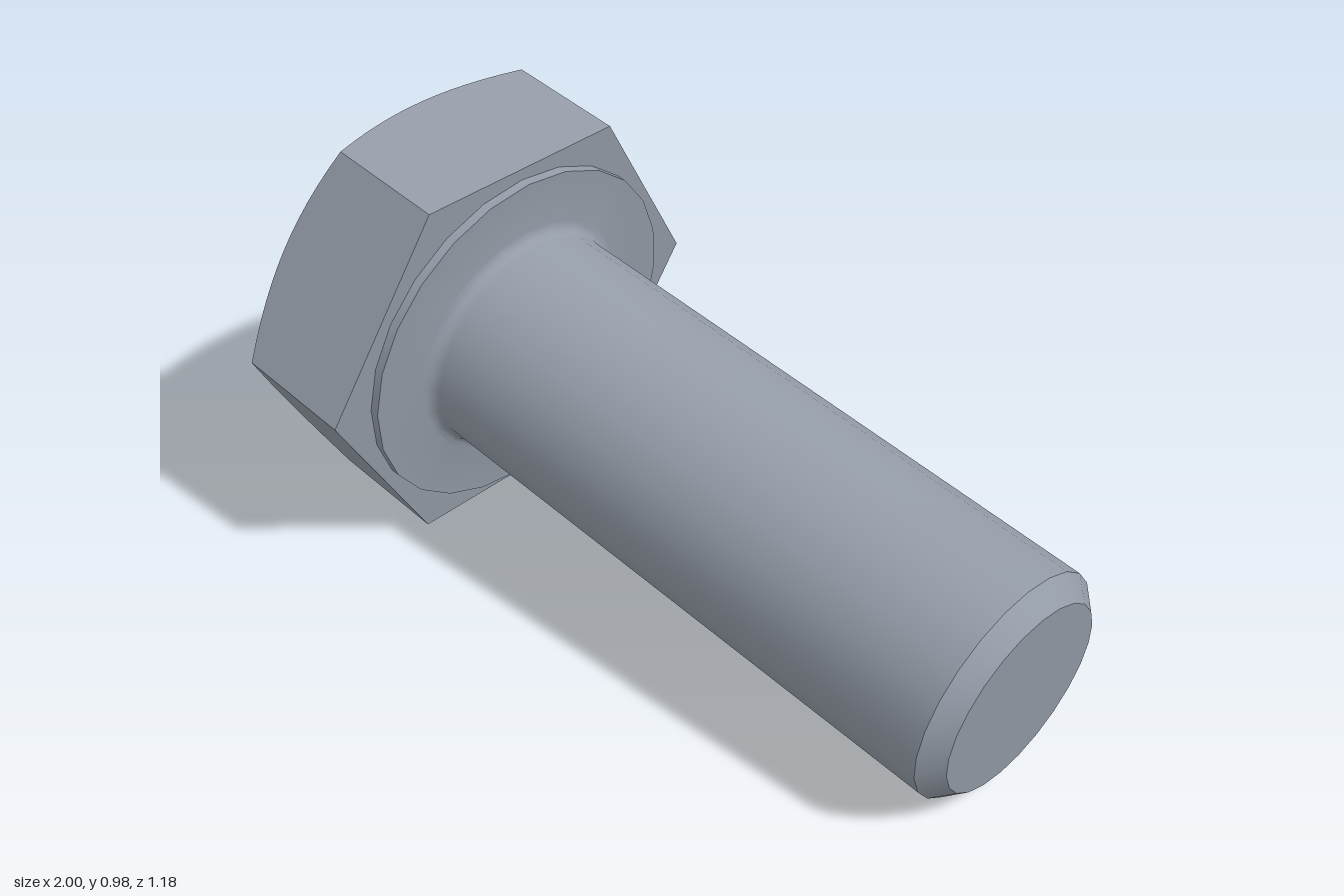
import * as THREE from 'three';
import { toCreasedNormals } from 'three/addons/utils/BufferGeometryUtils.js';

const steel = new THREE.MeshStandardMaterial({ color: 0x949ca8 });
steel.name = 'steel';

// Solid of revolution around y; the profile runs from bottom to top
const lathe = (points, segments) =>
  new THREE.LatheGeometry(points.map(([r, y]) => new THREE.Vector2(r, y)), segments);

function part(name, geometry, crease) {
  const mesh = new THREE.Mesh(toCreasedNormals(geometry, crease), steel);
  mesh.name = name;
  return mesh;
}

// Hexagonal head: a lathe pushed out to six flats, its corners cut by a 30 degree cone
function headGeometry(apothem, height) {
  const corner = apothem / Math.cos(Math.PI / 6);
  const geometry = lathe([[0, -height], [apothem, -height], [corner, -height / 2], [corner, 0], [0, 0]], 72);
  const pos = geometry.attributes.position;
  for (let i = 0; i < pos.count; i++) {
    const x = pos.getX(i), y = pos.getY(i), z = pos.getZ(i);
    if (Math.hypot(x, z) < apothem + 0.01) continue;
    const angle = Math.atan2(x, z) + Math.PI * 2;
    const r = apothem / Math.cos((angle % (Math.PI / 3)) - Math.PI / 6);
    const cut = -height + (r - apothem) * Math.tan(Math.PI / 6);
    pos.setXYZ(i, r * Math.sin(angle), y < -0.01 ? cut : 0, r * Math.cos(angle));
  }
  return geometry;
}

export function createModel() {
  const group = new THREE.Group();
  group.name = 'hexBolt';

  const bolt = new THREE.Group();
  bolt.name = 'bolt';
  bolt.add(part('head', headGeometry(0.473, 0.347), 0.4));

  // Washer face, fillet, shank and chamfered tip in one profile
  const washer = 0.023, fillet = 0.03, radius = 0.281, length = 1.538, chamfer = 0.046;
  const profile = [[0.443, -0.005], [0.443, washer]];
  for (let i = 0; i <= 4; i++) {
    const a = (i / 4) * Math.PI / 2;
    profile.push([radius + fillet * (1 - Math.sin(a)), washer + fillet * (1 - Math.cos(a))]);
  }
  profile.push([radius, length - chamfer], [radius - chamfer, length], [0, length]);
  bolt.add(part('shank', lathe(profile, 24), 0.5));

  // Lay the bolt over along its tilted axis, one head corner level with it
  const axis = new THREE.Vector3(1, -0.127, 0.213).normalize();
  const level = new THREE.Vector3(-axis.z, 0, axis.x).normalize();
  const side = new THREE.Vector3().crossVectors(axis, level);
  bolt.quaternion.setFromRotationMatrix(new THREE.Matrix4().makeBasis(side, axis, level));
  bolt.position.set(-0.55, 0.469, 0.005);

  group.add(bolt);
  return group;
}
